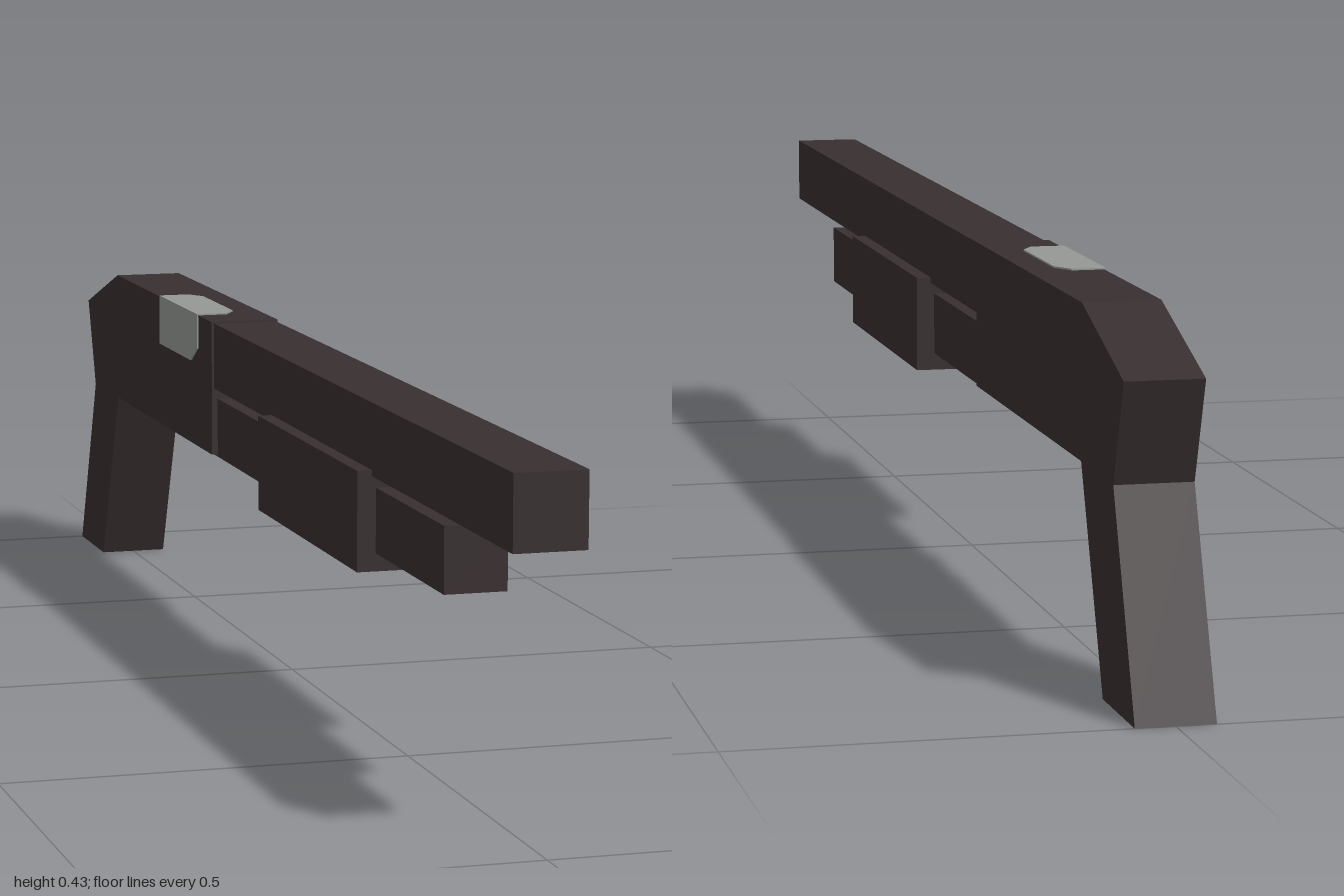
import * as THREE from 'three';

const darkMetal = new THREE.MeshStandardMaterial({ color: 0x382f30 });
darkMetal.name = 'darkMetal';
const paleSteel = new THREE.MeshStandardMaterial({ color: 0x959895 });
paleSteel.name = 'paleSteel';

// Flat outline of [a, b] points given a thickness
function plate(points, depth) {
  const shape = new THREE.Shape(points.map(([a, b]) => new THREE.Vector2(a, b)));
  return new THREE.ExtrudeGeometry(shape, { depth, bevelEnabled: false });
}

export function createModel() {
  const model = new THREE.Group();
  model.name = 'pumpActionGun';

  function add(name, geometry, material) {
    const mesh = new THREE.Mesh(geometry, material);
    mesh.name = name;
    model.add(mesh);
  }

  // Box running along z between two ends
  function bar(name, halfWidth, y0, y1, z0, z1) {
    const geometry = new THREE.BoxGeometry(2 * halfWidth, y1 - y0, z1 - z0);
    geometry.translate(0, (y0 + y1) / 2, (z0 + z1) / 2);
    add(name, geometry, darkMetal);
  }

  bar('barrel', 0.043, 0.34, 0.428, -0.25, 1);
  bar('magazineTube', 0.038, 0.247, 0.326, -0.262, 0.75);
  bar('pumpGrip', 0.061, 0.225, 0.347, 0.055, 0.49);

  // Receiver and pistol grip share one side outline (z, y)
  const halfWidth = 0.046;
  const body = plate([
    [-0.23, 0.43], [-0.76, 0.43], [-0.945, 0.37], [-0.903, 0.249],
    [-1, 0], [-0.862, 0], [-0.76, 0.25], [-0.23, 0.25],
  ], 2 * halfWidth);
  body.rotateY(-Math.PI / 2).translate(halfWidth, 0, 0);
  add('receiverAndGrip', body, darkMetal);

  // Ejection port wraps over the upper right edge: top plate (x, z)
  const top = plate([
    [-halfWidth, -0.505], [-0.006, -0.505], [0.009, -0.48],
    [0.009, -0.325], [-0.006, -0.3], [-halfWidth, -0.3],
  ], 0.003);
  top.rotateX(Math.PI / 2).translate(0, 0.432, 0);
  add('ejectionPortTop', top, paleSteel);

  // Side plate (z, y)
  const side = plate([
    [-0.505, 0.432], [-0.505, 0.364], [-0.335, 0.364], [-0.3, 0.385], [-0.3, 0.432],
  ], 0.003);
  side.rotateY(-Math.PI / 2).translate(-halfWidth + 0.001, 0, 0);
  add('ejectionPortSide', side, paleSteel);

  return model;
}
